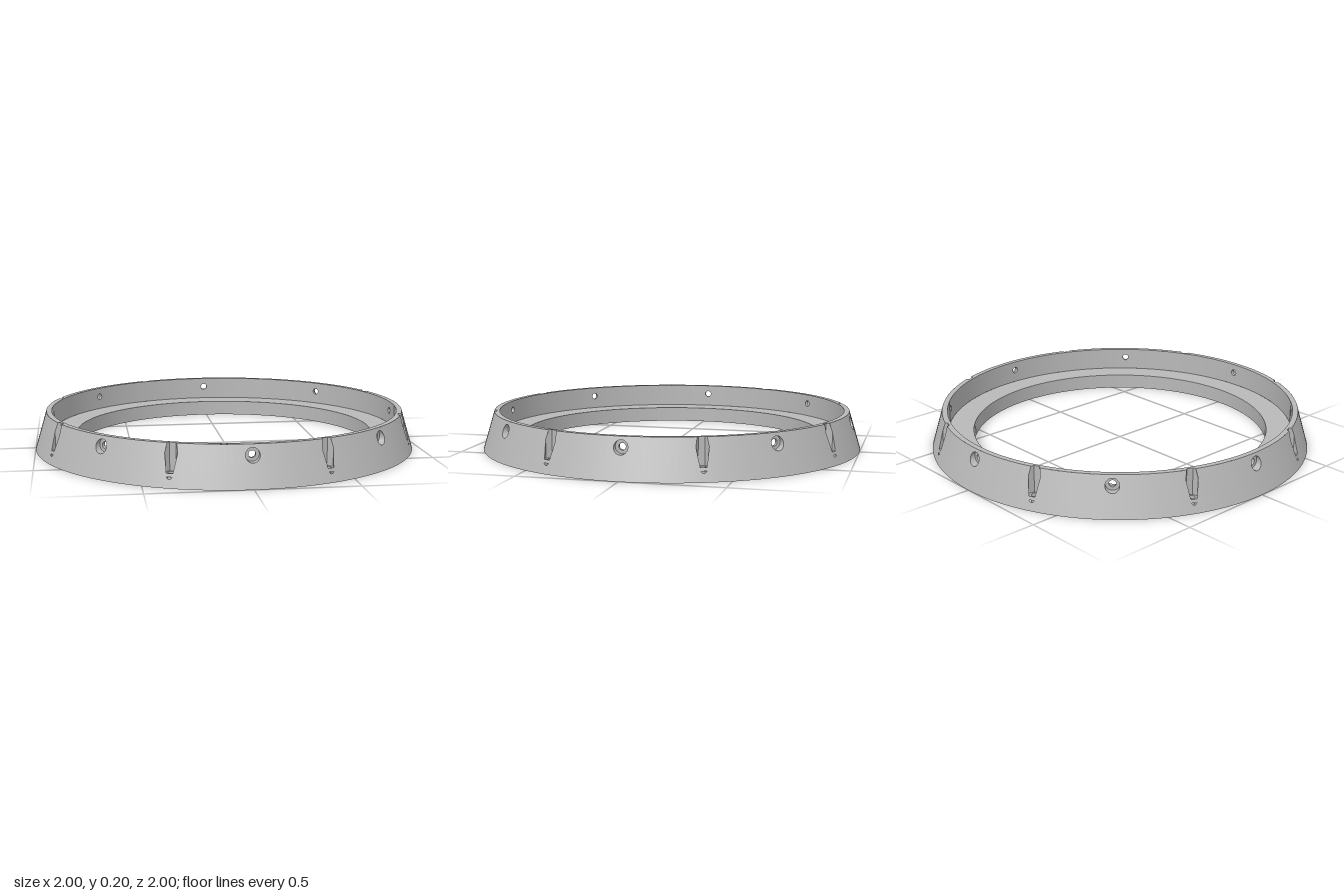
import * as THREE from 'three';

const TOP = 0.2, SLOPE = 0.3, R_IN = 0.912, R_BORE = 0.78, SHELF = 0.08;
const HALF = 0.05;              // half angle of a panel holding one opening
const STEP = Math.PI / 8;       // 16 openings, bolts and nuts alternating
const NUT_R = 0.953, HOLE = 0.017, BOLT_Y = 0.15, HEAD = 0.034, SEAT = 0.928;

const V2 = (x, y) => new THREE.Vector2(x, y);
const coneR = y => 1 - SLOPE * y;
const coneY = r => (1 - r) / SLOPE;
const circle = (r, n, cx = 0, cy = 0) => Array.from({ length: n }, (_, i) => {
  const a = i / n * Math.PI * 2;
  return V2(cx + r * Math.cos(a), cy + r * Math.sin(a));
});

// Shape from point lists
function flat(outline, holes = []) {
  const s = new THREE.Shape(outline);
  for (const h of holes) s.holes.push(new THREE.Path(h));
  return new THREE.ShapeGeometry(s);
}

// Horizontal face; plan points are (radial = z, tangential = x)
function plate(outline, holes, y, up = true) {
  const k = up ? -1 : 1;
  const conv = pts => pts.map(p => V2(p.y, k * p.x));
  return flat(conv(outline), holes.map(conv)).rotateX(k * Math.PI / 2).translate(0, y, 0);
}

// Inward-facing wall between two closed loops of points
function wall(a, b, smooth = true) {
  const n = a.length, index = [];
  for (let i = 0; i < n; i++) {
    const j = (i + 1) % n;
    index.push(i, n + j, j, i, n + i, n + j);
  }
  let g = new THREE.BufferGeometry().setFromPoints([...a, ...b]);
  g.setIndex(index);
  if (!smooth) g = g.toNonIndexed();
  g.computeVertexNormals();
  return g;
}
const upright = (pts, y) => pts.map(p => new THREE.Vector3(p.y, typeof y === 'function' ? y(p) : y, p.x));

// Wrap an (angle, height) shape round a cone; dir -1 faces the axis
function wrap(g, radius, slope, dir = 1) {
  const p = g.attributes.position, nrm = g.attributes.normal;
  const n = new THREE.Vector3();
  for (let i = 0; i < p.count; i++) {
    const a = p.getX(i) * dir, y = p.getY(i), r = radius - slope * y;
    p.setXYZ(i, r * Math.sin(a), y, r * Math.cos(a));
    n.set(Math.sin(a), slope, Math.cos(a)).normalize().multiplyScalar(dir);
    nrm.setXYZ(i, n.x, n.y, n.z);
  }
  return g;
}

// Panel outline with points along the long edges; extra replaces the top middle
function panelOutline(y0, extra = []) {
  const pts = [];
  for (let i = -2; i <= 2; i++) pts.push(V2(i * HALF / 2, y0));
  pts.push(V2(HALF, TOP));
  if (extra.length) pts.push(...extra);
  else for (let i = 1; i >= -1; i--) pts.push(V2(i * HALF / 2, TOP));
  pts.push(V2(-HALF, TOP));
  return pts;
}

export function createModel() {
  const model = new THREE.Group();
  model.name = 'mountingRing';
  const grey = new THREE.MeshStandardMaterial({ color: 0xb8b8b8, side: THREE.DoubleSide });
  grey.name = 'plain grey';
  const add = (parent, name, g) => {
    const m = new THREE.Mesh(g, grey);
    m.name = name;
    parent.add(m);
    return m;
  };
  const onCone = p => V2(Math.atan2(p.y, p.x), coneY(Math.hypot(p.x, p.y)));

  // Hexagonal nut pocket in plan, with the points where it leaves the top rim
  const right = [V2(0.98, 0.0155), V2(NUT_R, 0.031), V2(0.9396, 0.0233), V2(0.926, 0.0155)];
  const left = right.map(p => V2(p.x, -p.y)).reverse();
  const hex = [...right, ...left];
  const bore = circle(HOLE, 24, NUT_R);

  // Round recess under the pocket, just breaking through the slope
  const recessR = 0.035, recessLow = 0.03, recessHigh = 0.05;
  const recess = circle(recessR, 48, NUT_R);
  const recessTop = recess.map(p => {
    const r = Math.hypot(p.x, p.y);
    return r > coneR(recessHigh) ? p.clone().multiplyScalar(coneR(recessHigh) / r) : p;
  });
  const sliver = Array.from({ length: 13 }, (_, i) => {
    const a = (i / 6 - 1) * 0.424;
    return onCone(V2(NUT_R + recessR * Math.cos(a), recessR * Math.sin(a)));
  });

  const notch = [right[2], right[1], right[0], left[3], left[2], left[1]].map(onCone);
  const nutParts = {
    nutPanel: wrap(flat(panelOutline(0, notch), [sliver]), 1, SLOPE),
    nutPocketWall: wall(upright(hex, 0.065),
      upright(hex, p => Math.min(TOP, coneY(Math.hypot(p.x, p.y)))), false),
    nutPocketFloor: plate(hex, [bore], 0.065),
    nutBore: wall(upright(bore, 0), upright(bore, 0.065)),
    recessWall: wall(upright(recess, recessLow),
      upright(recess, p => Math.min(recessHigh, coneY(Math.hypot(p.x, p.y))))),
    recessCeiling: plate(recessTop, [bore], recessHigh, false),
    recessFloor: plate(recess, [bore], recessLow),
    innerPanel: wrap(flat(panelOutline(SHELF)), R_IN, 0, -1)
  };

  // Radial bolt hole with a wider seat for the bolt head
  const head = circle(HEAD, 32, 0, BOLT_Y), shank = circle(HOLE, 32, 0, BOLT_Y);
  const atZ = (pts, z) => pts.map(p => new THREE.Vector3(p.x, p.y, typeof z === 'function' ? z(p) : z));
  const inner = p => Math.sqrt(R_IN ** 2 - p.x ** 2);
  const boltParts = {
    boltPanel: wrap(flat(panelOutline(0), [head.map(p => V2(Math.asin(p.x / coneR(p.y)), p.y))]), 1, SLOPE),
    boltHeadWall: wall(atZ(head, SEAT), atZ(head, p => Math.sqrt(coneR(p.y) ** 2 - p.x ** 2))),
    boltSeat: flat(head, [shank]).translate(0, 0, SEAT),
    boltBore: wall(atZ(shank, inner), atZ(shank, SEAT)),
    innerPanel: wrap(flat(panelOutline(SHELF), [shank.map(p => V2(Math.asin(p.x / R_IN), p.y))]), R_IN, 0, -1)
  };

  // Plain wall sections between the openings
  const gap = STEP - 2 * HALF;
  const section = pts => new THREE.LatheGeometry(pts, 8, HALF, gap);
  const plainParts = {
    outerSection: section([V2(1, 0), V2(coneR(TOP), TOP)]),
    innerSection: section([V2(R_IN, TOP), V2(R_IN, SHELF)])
  };

  for (let k = 0; k < 16; k++) {
    const g = new THREE.Group();
    g.name = k % 2 ? 'nutStation' : 'boltStation';
    g.rotation.y = k * STEP;
    for (const [name, geo] of Object.entries({ ...(k % 2 ? nutParts : boltParts), ...plainParts })) add(g, name, geo);
    model.add(g);
  }

  // Top rim with notches, and underside with bore holes
  const rim = [], underHoles = [circle(R_BORE, 128)];
  const turn = (p, c) => p.clone().rotateAround(V2(0, 0), c);
  const edge = Math.atan2(right[2].y, right[2].x);
  for (let k = 0; k < 8; k++) {
    const c = (2 * k + 1) * STEP;
    for (const p of [left[1], left[0], right[3], right[2]]) rim.push(turn(p, c));
    for (let i = 1; i < 16; i++) {
      const a = c + edge + (2 * STEP - 2 * edge) * i / 16;
      rim.push(V2(coneR(TOP) * Math.cos(a), coneR(TOP) * Math.sin(a)));
    }
    underHoles.push(bore.map(p => turn(p, c)));
  }
  add(model, 'topRim', plate(rim, [circle(R_IN, 128)], TOP));
  add(model, 'underside', plate(circle(1, 128), underHoles, 0, false));

  // Inner shelf and central opening
  add(model, 'shelf', new THREE.LatheGeometry([V2(R_IN, SHELF), V2(R_BORE, SHELF)], 128));
  add(model, 'centralOpening', new THREE.LatheGeometry([V2(R_BORE, SHELF), V2(R_BORE, 0)], 128));
  return model;
}
